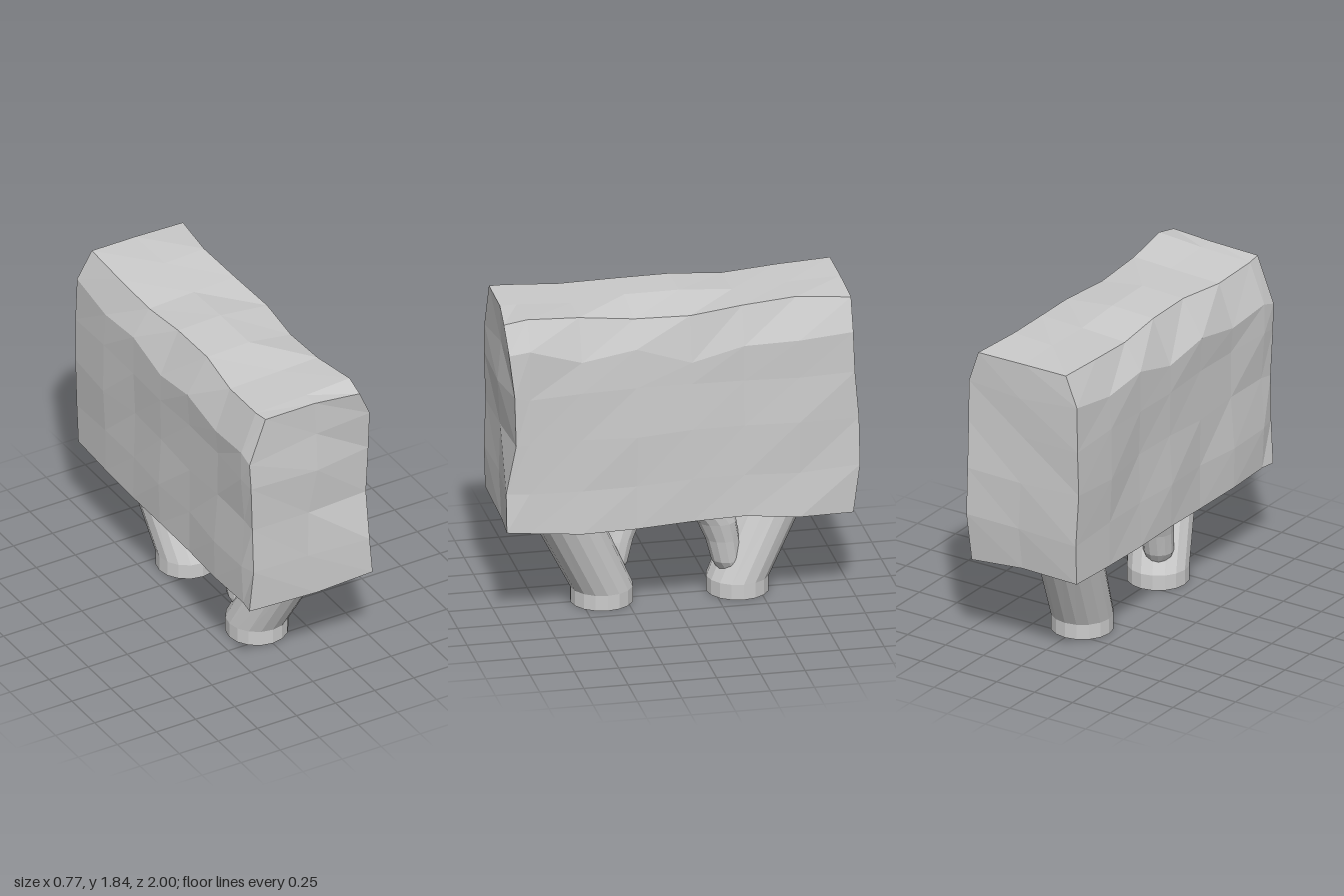
import * as THREE from 'three';

const mat = new THREE.MeshStandardMaterial({ color: 0xcccccc, flatShading: true, side: THREE.DoubleSide });

// repeatable bump in -1..1 for a grid corner
function bump(i, j, k, seed) {
  const s = Math.sin(i * 127.1 + j * 311.7 + k * 74.7 + seed * 53.3) * 43758.5453;
  return (s - Math.floor(s)) * 2 - 1;
}

// Clipped block of leaves: a gridded box with uneven sides and a narrowed top
function makeFoliage() {
  const rowsY = [0.56, 0.82, 1.11, 1.39, 1.6, 1.81];
  const rowsZ = [-0.99, -0.66, -0.35, -0.05, 0.26, 0.57, 0.87, 0.98];
  // outlines along z of the top, shoulder and bottom on the left (+x) and right (-x)
  const topY = {
    1: [1.815, 1.828, 1.81, 1.785, 1.78, 1.81, 1.835, 1.81],
    0: [1.82, 1.815, 1.8, 1.82, 1.82, 1.8, 1.815, 1.815],
    [-1]: [1.82, 1.805, 1.785, 1.81, 1.81, 1.79, 1.805, 1.81],
  };
  const topX = {
    1: [0.31, 0.27, 0.29, 0.32, 0.29, 0.28, 0.31, 0.3],
    [-1]: [0.27, 0.27, 0.26, 0.25, 0.245, 0.28, 0.29, 0.28],
  };
  const shoulderY = {
    1: [1.63, 1.6, 1.59, 1.52, 1.62, 1.57, 1.67, 1.65],
    [-1]: [1.65, 1.6, 1.63, 1.55, 1.6, 1.54, 1.57, 1.54],
  };
  const sideX = [0.36, 0.365, 0.36, 0.365, 0.36, 0.37, 0.375, 0.375];
  const bottomY = [0.545, 0.55, 0.58, 0.575, 0.555, 0.555, 0.585, 0.6];
  const frontEdge = [1, 1, 0.945, 0.955, 0.985, 1];
  const backEdge = [-0.965, -1, -0.995, -0.97, -0.96, -0.96];
  const geo = new THREE.BoxGeometry(2, 2, 2, 2, 5, 7);

  // turn the cell diagonals on the top and both ends
  const idx = geo.index;
  for (const g of [2, 4, 5]) {
    const { start, count } = geo.groups[g];
    for (let n = start; n < start + count; n += 6) {
      const [a, b, d, , c] = Array.from(idx.array.slice(n, n + 6));
      [a, b, c, a, c, d].forEach((v, m) => idx.setX(n + m, v));
    }
  }

  const p = geo.attributes.position;
  for (let n = 0; n < p.count; n++) {
    const i = Math.round(p.getX(n)) + 0;
    const j = Math.round((p.getY(n) + 1) * 2.5);
    const k = Math.round((p.getZ(n) + 1) * 3.5);
    let x = 0.02 + 0.03 * bump(i, j, k, 1);
    let y = rowsY[j] + 0.015 * bump(i, j, k, 2);
    let z = rowsZ[k];
    if (i !== 0) {
      x = i * (j === 5 ? topX[i][k] : sideX[k] + 0.013 * bump(i, j, k, 1));
      if (j === 4) y = shoulderY[i][k];
    }
    if (j === 5) y = topY[i][k];
    if (j === 0) y = i > 0 ? bottomY[k] : 0.563 + 0.012 * bump(i, j, k, 3);
    if (k === 7) z = i > 0 ? frontEdge[j] : 0.965 + 0.018 * bump(i, j, k, 4);
    else if (k === 0) z = i > 0 ? backEdge[j] : -0.975 + 0.018 * bump(i, j, k, 4);
    p.setXYZ(n, x, y, z);
  }
  geo.computeVertexNormals();
  const mesh = new THREE.Mesh(geo, mat);
  mesh.name = 'foliage';
  return mesh;
}

// Stem whose level rings follow a list of [x, y, z, radius along x, radius along z]
function makeStem(name, rings, sides) {
  const last = rings.length - 1;
  const geo = new THREE.CylinderGeometry(1, 1, last, sides, last);
  const p = geo.attributes.position;
  for (let n = 0; n < p.count; n++) {
    const [x, y, z, rx, rz] = rings[Math.round(p.getY(n) + last / 2)];
    p.setXYZ(n, x + p.getX(n) * rx, y, z + p.getZ(n) * rz);
  }
  geo.computeVertexNormals();
  const mesh = new THREE.Mesh(geo, mat);
  mesh.name = name;
  return mesh;
}

// Leaning trunk with a thinner branch curving toward the middle
function makeTree(name, lean) {
  const tree = new THREE.Group();
  tree.name = name;
  tree.add(
    makeStem('trunk', [
      [0, 0, 0.384, 0.176, 0.176], [0, 0.09, 0.384, 0.176, 0.176],
      [lean, 0.56, 0.61, 0.18, 0.193], [lean * 1.2, 0.66, 0.658, 0.18, 0.193],
    ], 16),
    makeStem('branch', [
      [-0.04, 0.15, 0.34, 0.07, 0.08], [-0.05, 0.21, 0.31, 0.085, 0.085], [-0.06, 0.34, 0.285, 0.09, 0.095],
      [-0.075, 0.45, 0.25, 0.095, 0.11], [-0.09, 0.56, 0.18, 0.1, 0.125], [-0.095, 0.63, 0.12, 0.1, 0.13],
    ], 12),
  );
  return tree;
}

export function createModel() {
  const model = new THREE.Group();
  model.name = 'hedge';
  const front = makeTree('frontTree', 0.1);
  const back = makeTree('backTree', 0.06);
  back.rotation.y = Math.PI;
  model.add(makeFoliage(), front, back);
  return model;
}
